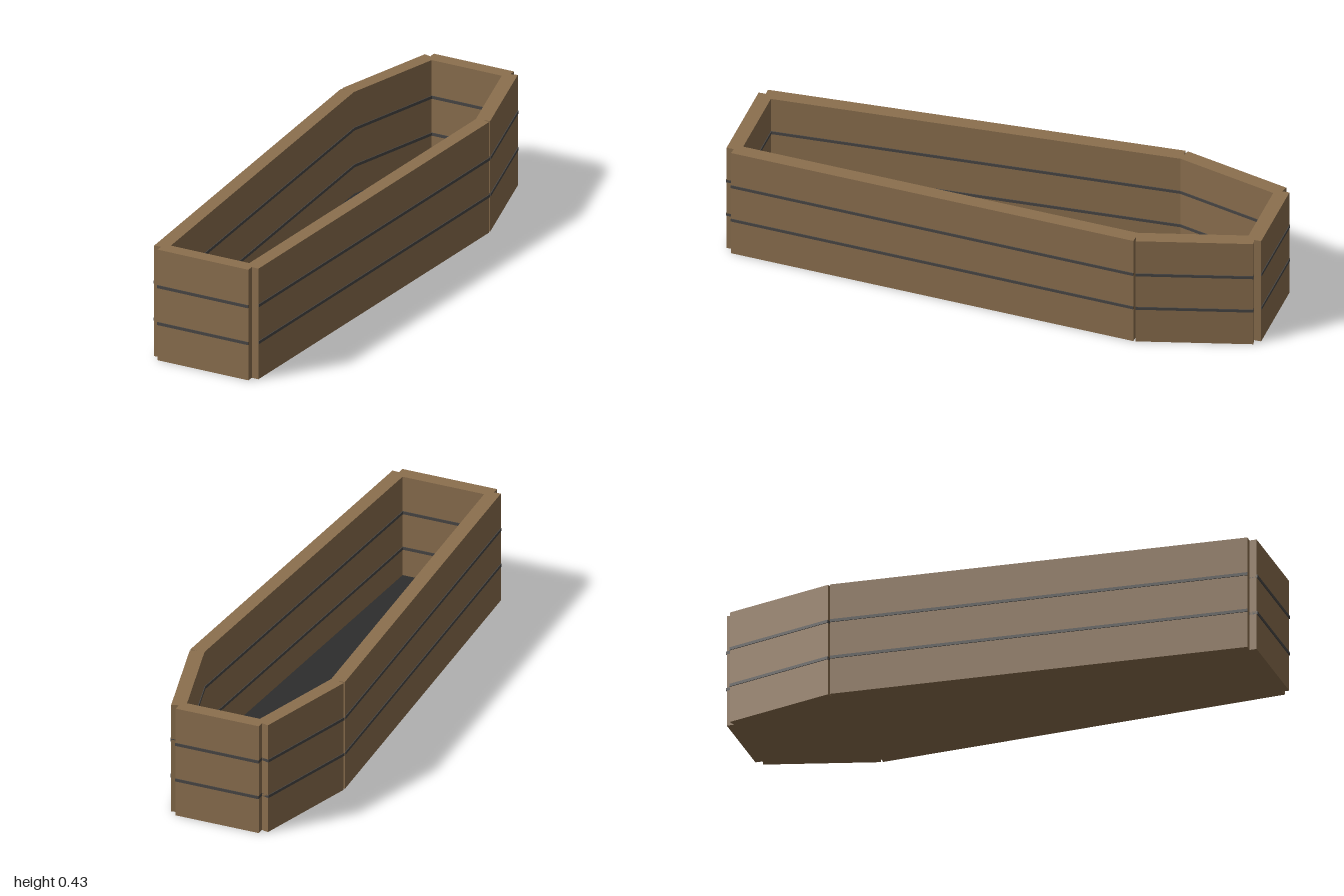
import * as THREE from 'three';

const wood = new THREE.MeshStandardMaterial({ color: 0x8b6f4e });
wood.name = 'wood';
const iron = new THREE.MeshStandardMaterial({ color: 0x484644 });
iron.name = 'iron';
const lining = new THREE.MeshStandardMaterial({ color: 0x2d2d2d });
lining.name = 'dark lining';

const HEIGHT = 0.43, WALL = 0.054, BAND = 0.06, BAND_HEIGHT = 0.011, FLOOR = 0.03;

// Centre line of the walls, as [x, z] corners
const corners = [
  [0.185, 0.97], [0.275, -0.565], [0.163, -0.97],
  [-0.163, -0.97], [-0.275, -0.565], [-0.185, 0.97],
];
const wallNames = ['leftSide', 'leftShoulder', 'head', 'rightShoulder', 'rightSide', 'foot'];

// Upright board running from corner a to corner b
function board(name, a, b, thickness, height, y, material) {
  const dx = b[0] - a[0], dz = b[1] - a[1];
  const mesh = new THREE.Mesh(new THREE.BoxGeometry(thickness, height, Math.hypot(dx, dz)), material);
  mesh.position.set((a[0] + b[0]) / 2, y, (a[1] + b[1]) / 2);
  mesh.rotation.y = Math.atan2(dx, dz);
  mesh.name = name;
  return mesh;
}

// Flat slab in the outline of the box
function slab(name, depth, y, material) {
  const shape = new THREE.Shape(corners.map(([x, z]) => new THREE.Vector2(x, -z)));
  const geometry = new THREE.ExtrudeGeometry(shape, { depth, bevelEnabled: false });
  geometry.rotateX(-Math.PI / 2);
  const mesh = new THREE.Mesh(geometry, material);
  mesh.position.y = y;
  mesh.name = name;
  return mesh;
}

export function createModel() {
  const model = new THREE.Group();
  model.name = 'coffin';

  // Floor with a thin lining on top
  model.add(slab('floor', FLOOR, 0, wood), slab('floorLining', 0.004, FLOOR, lining));

  // Six walls, each with two bands standing slightly proud on both faces
  corners.forEach((a, i) => {
    const b = corners[(i + 1) % corners.length];
    const name = wallNames[i];
    model.add(board(name + 'Wall', a, b, WALL, HEIGHT, HEIGHT / 2, wood));
    for (const k of [1, 2]) {
      model.add(board(name + 'Band' + k, a, b, BAND, BAND_HEIGHT, HEIGHT * k / 3, iron));
    }
  });
  return model;
}
